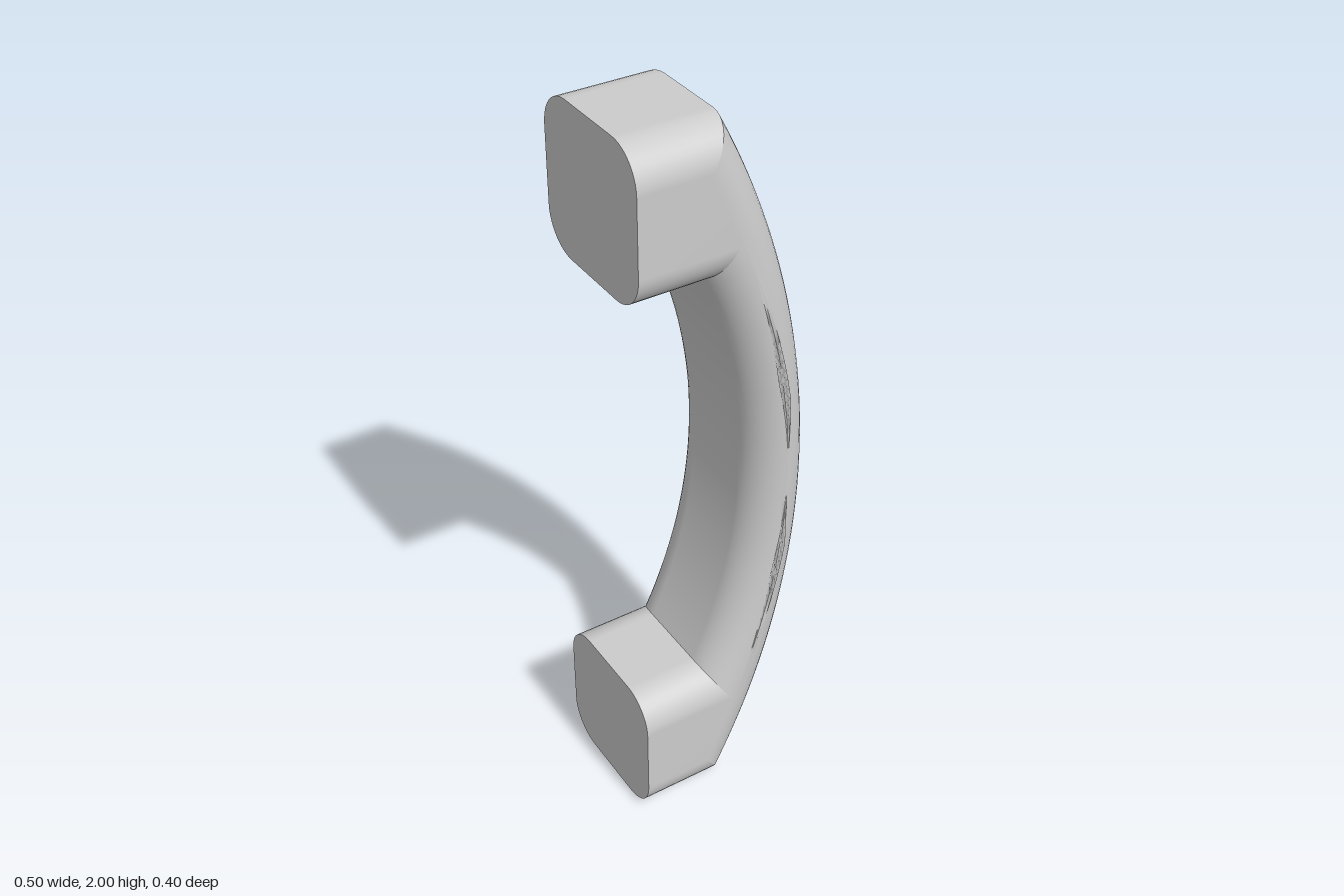
import * as THREE from 'three';

const FILLET = 0.1, HALF_WIDTH = 0.2, BACK = -0.25;
const CORNER_STEPS = 10, GRIP_STEPS = 48;

// Outer and inner faces of the grip are circular arcs; depth moves inwards from each face.
const outerPoint = (s, depth) => {
  const dy = s * (1 - depth);
  return [-1.875 + Math.sqrt((2.125 - depth) ** 2 - dy * dy), 1 + dy];
};
const innerPoint = (s, depth) => {
  const dy = s * (0.6 + depth);
  return [-1.315 + Math.sqrt((1.4 + depth) ** 2 - dy * dy), 1 + dy];
};

// Rounded cross-section at s (-1 = bottom mitre, 1 = top mitre)
function section(s) {
  const [ox, oy] = outerPoint(s, 0), [ix, iy] = innerPoint(s, 0);
  const maxDepth = Math.min(FILLET, Math.hypot(ox - ix, oy - iy) / 2);
  const maxAngle = Math.acos(1 - maxDepth / FILLET);
  const corner = (face) => Array.from({ length: CORNER_STEPS + 1 }, (_, i) => {
    const a = maxAngle * i / CORNER_STEPS;
    const [x, y] = face(s, FILLET * (1 - Math.cos(a)));
    return new THREE.Vector3(x, y, HALF_WIDTH - FILLET + FILLET * Math.sin(a));
  });
  const half = [...corner(outerPoint), ...corner(innerPoint).reverse()];
  const mirrored = half.map((p) => new THREE.Vector3(p.x, p.y, -p.z)).reverse();
  return [...half, ...mirrored];
}

// Smooth skin through a list of closed cross-sections
function loft(rings) {
  const n = rings[0].length, index = [];
  for (let i = 0; i < rings.length - 1; i++) {
    for (let j = 0; j < n; j++) {
      const k = (j + 1) % n;
      const a = i * n + j, b = i * n + k, c = b + n, d = a + n;
      index.push(a, d, c, a, c, b);
    }
  }
  const geometry = new THREE.BufferGeometry().setFromPoints(rings.flat());
  geometry.setIndex(index);
  geometry.computeVertexNormals();
  return geometry;
}

// Flat cap over one cross-section
function cap(ring) {
  const index = [];
  for (let j = 1; j < ring.length - 1; j++) index.push(0, j, j + 1);
  const geometry = new THREE.BufferGeometry().setFromPoints(ring);
  geometry.setIndex(index);
  geometry.computeVertexNormals();
  return geometry;
}

export function createModel() {
  const model = new THREE.Group();
  model.name = 'pullHandle';
  const material = new THREE.MeshStandardMaterial({ color: 0xcccccc });
  const add = (name, geometry) => {
    const mesh = new THREE.Mesh(geometry, material);
    mesh.name = name;
    model.add(mesh);
  };

  // Bowed grip
  const rings = Array.from({ length: GRIP_STEPS + 1 }, (_, i) => section(-1 + 2 * i / GRIP_STEPS));
  add('grip', loft(rings));

  // Mounting posts running straight back from each mitre
  for (const [name, s] of [['lower', -1], ['upper', 1]]) {
    const mitre = section(s);
    const back = mitre.map((p) => new THREE.Vector3(BACK, p.y, p.z));
    add(name + 'Post', loft(s < 0 ? [back, mitre] : [mitre, back]));
    add(name + 'MountingFace', cap(s < 0 ? back : [...back].reverse()));
  }
  return model;
}
